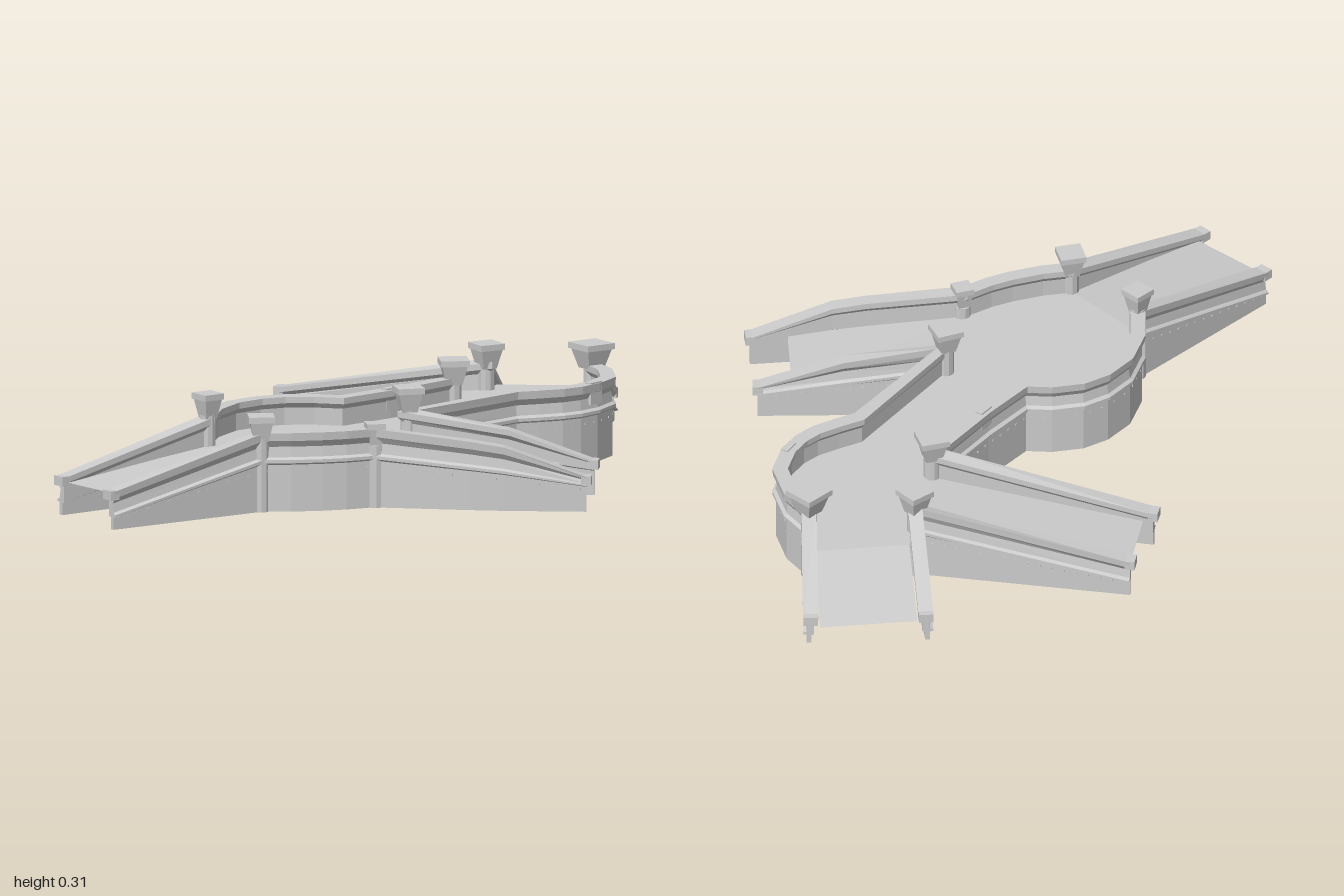
import * as THREE from 'three';
import { mergeGeometries } from 'three/addons/utils/BufferGeometryUtils.js';

const TOP = 0.235, LEDGE = 0.15;
const mat = new THREE.MeshStandardMaterial({ color: 0xcccccc, flatShading: true });
const sheet = new THREE.MeshStandardMaterial({ color: 0xcccccc, flatShading: true, side: THREE.DoubleSide });

// Wall section, counter-clockwise: [outward offset, part (0 plinth, 1 parapet), fraction of that part]
const SECTION = [
  [-0.002, 0, 0], [0.012, 0, 0], [0.012, 0, 0.93], [0.022, 0, 0.97], [0.022, 1, 0.06], [0.012, 1, 0.14],
  [0.008, 1, 0.5], [0.02, 1, 0.72], [0.022, 1, 1], [-0.022, 1, 1], [-0.022, 1, 0.78],
  [-0.01, 1, 0.6], [-0.01, 0, 0.95], [-0.002, 0, 0.9],
];

// Wall runs, clockwise seen from above: [x, z, top height, ledge height]
const WALLS = {
  westWall: [
    [-0.755, 0.765, 0.115, 0.04], [-0.37, 0.40], [-0.365, 0.27], [-0.325, 0.155], [-0.26, 0.08], [-0.19, 0.04],
    [-0.1, 0.026], [-0.02, 0.035], [0.10, -0.10], [0.262, -0.315], [-0.375, -0.482, 0.12, 0.05],
  ],
  northWestWall: [
    [-0.295, -0.73, 0.12, 0.05], [0.33, -0.59], [0.315, -0.945, 0.095, 0.03],
  ],
  eastWall: [
    [0.652, -0.945, 0.095, 0.03], [0.64, -0.585], [0.69, -0.5], [0.715, -0.38], [0.685, -0.285], [0.645, -0.225],
    [0.60, -0.185], [0.535, -0.15], [0.47, -0.12], [0.20, 0.235],
    [0.5, 0.247, 0.19, 0.115], [0.75, 0.255, 0.105, 0.08],
  ],
  southWall: [
    [0.76, 0.515, 0.105, 0.08], [0.52, 0.53, 0.19, 0.115], [0.42, 0.53, 0.205, 0.125], [0.13, 0.52],
    [0.055, 0.565], [-0.01, 0.592], [-0.1, 0.618], [-0.185, 0.63], [-0.585, 0.975, 0.115, 0.04],
  ],
};

// Geometry from loose triangles
function fromTriangles(pos) {
  const g = new THREE.BufferGeometry();
  g.setAttribute('position', new THREE.Float32BufferAttribute(pos, 3));
  g.computeVertexNormals();
  return g;
}

// Sweeps the wall section along a path with mitred corners
function wallGeometry(path) {
  const dirs = path.slice(1).map((p, i) =>
    new THREE.Vector2(p[0] - path[i][0], p[1] - path[i][1]).normalize());
  const rings = path.map(([x, z, top = TOP, ledge = LEDGE], i) => {
    const a = dirs[Math.max(i - 1, 0)], b = dirs[Math.min(i, dirs.length - 1)];
    const d = a.clone().add(b).normalize();
    const miter = Math.min(1 / Math.max(d.dot(a), 0.01), 1.5);
    return SECTION.map(([o, part, f]) => [
      x + d.y * o * miter, part ? ledge + f * (top - ledge) : f * ledge, z - d.x * o * miter]);
  });
  const pos = [], n = SECTION.length;
  const tri = (...v) => v.forEach((p) => pos.push(...p));
  for (let i = 0; i + 1 < rings.length; i++) {
    for (let j = 0; j < n; j++) {
      const k = (j + 1) % n, A = rings[i], B = rings[i + 1];
      tri(A[j], A[k], B[k]);
      tri(A[j], B[k], B[j]);
    }
  }
  const flat = SECTION.map(([o, part, f]) => new THREE.Vector2(o, part ? 0.15 + f * 0.085 : f * 0.15));
  const first = rings[0], last = rings[rings.length - 1];
  for (const [a, b, c] of THREE.ShapeUtils.triangulateShape(flat, [])) {
    tri(first[c], first[b], first[a]);
    tri(last[a], last[b], last[c]);
  }
  return fromTriangles(pos);
}

// Row of small rivets just under the ledge
function rivetGeometry(path) {
  const parts = [];
  for (let i = 0; i + 1 < path.length; i++) {
    const [x0, z0, , l0 = LEDGE] = path[i], [x1, z1, , l1 = LEDGE] = path[i + 1];
    const len = Math.hypot(x1 - x0, z1 - z0), count = Math.floor(len / 0.035);
    const dx = (x1 - x0) / len, dz = (z1 - z0) / len;
    for (let k = 0; k < count; k++) {
      const t = (k + 0.5) / count;
      parts.push(new THREE.BoxGeometry(0.005, 0.005, 0.005).rotateY(Math.atan2(-dz, dx)).translate(
        x0 + (x1 - x0) * t + dz * 0.012, (l0 + (l1 - l0) * t) * 0.8, z0 + (z1 - z0) * t - dx * 0.012));
    }
  }
  return mergeGeometries(parts);
}

export function createModel() {
  const model = new THREE.Group();
  const add = (name, geometry, parent = model, material = mat) => {
    const mesh = new THREE.Mesh(geometry, material);
    mesh.name = name;
    parent.add(mesh);
    return mesh;
  };

  // Parapet walls, rivets and the small blocks closing each ramp wall
  for (const [name, path] of Object.entries(WALLS)) {
    add(name, wallGeometry(path));
    add(name + 'Rivets', rivetGeometry(path));
    for (const [end, next] of [[path[0], path[1]], [path[path.length - 1], path[path.length - 2]]]) {
      const block = add('wallEndBlock', new THREE.BoxGeometry(0.03, 0.028, 0.042));
      block.position.set(end[0], end[2] - 0.012, end[1]);
      block.rotation.y = Math.atan2(-(next[1] - end[1]), next[0] - end[0]);
    }
  }

  // Deck: the level stretches of all walls joined into one outline
  const outline = ['westWall', 'northWestWall', 'eastWall', 'southWall']
    .flatMap((k) => WALLS[k].filter((p) => p.length === 2));
  const deck = new THREE.Shape(outline.map(([x, z]) => new THREE.Vector2(x, -z)));
  add('deck', new THREE.ShapeGeometry(deck).rotateX(-Math.PI / 2).translate(0, LEDGE, 0), model, sheet);

  // Ramp floors: two corners at the deck, two at the foot, foot height
  const ramps = {
    southWestRamp: [[-0.37, 0.40], [-0.185, 0.63], [-0.575, 0.945], [-0.735, 0.785], 0.1],
    northWestRamp: [[0.33, -0.59], [0.262, -0.315], [-0.345, -0.475], [-0.29, -0.725], 0.085],
    southEastRamp: [[0.13, 0.52], [0.20, 0.235], [0.65, 0.25], [0.65, 0.52], 0.095],
  };
  const quad = (a, b, c, d, y0, y1) => fromTriangles([
    [a, y0], [b, y0], [c, y1], [a, y0], [c, y1], [d, y1]].flatMap(([p, y]) => [p[0], y, p[1]]));
  for (const [name, [a, b, c, d, y]] of Object.entries(ramps)) {
    add(name, quad(a, b, c, d, LEDGE, y), model, sheet);
  }
  // North ramp keeps level for a short stretch, then falls
  add('northRampLanding', quad([0.64, -0.585], [0.33, -0.59], [0.35, -0.67], [0.635, -0.69], LEDGE, LEDGE), model, sheet);
  add('northRamp', quad([0.635, -0.69], [0.35, -0.67], [0.342, -0.98], [0.627, -1], LEDGE, 0.09), model, sheet);

  // Posts: round column, flared capital and square slab
  const posts = [
    // x, z, top, width, turn
    [-0.37, 0.40, 0.305, 0.068, 0.75],
    [-0.185, 0.632, 0.285, 0.076, 0.2],
    [0.137, 0.52, 0.25, 0.055, 0.3],
    [0.20, 0.225, 0.305, 0.08, 0.35],
    [0.267, -0.315, 0.29, 0.085, 0.25],
    [0.33, -0.592, 0.288, 0.08, 0.65],
    [0.64, -0.587, 0.297, 0.098, 0.75],
  ];
  for (const [x, z, top, width, turn] of posts) {
    const post = new THREE.Group();
    post.name = 'post';
    post.position.set(x, 0, z);
    post.rotation.y = turn;
    const foot = top - 0.075, half = width * Math.SQRT1_2;
    add('column', new THREE.CylinderGeometry(0.024, 0.024, foot + 0.01, 10).translate(0, (foot + 0.01) / 2, 0), post);
    add('capital', new THREE.CylinderGeometry(half * 0.88, half * 0.55, 0.058, 4)
      .rotateY(Math.PI / 4).translate(0, foot + 0.029, 0), post);
    add('slab', new THREE.BoxGeometry(width, 0.018, width).translate(0, top - 0.009, 0), post);
    model.add(post);
  }

  // Small brackets clasping the parapet
  for (const [x, z, turn] of [[0.685, -0.27, 1], [0.105, -0.105, 0.9]]) {
    const bracket = add('bracket', new THREE.BoxGeometry(0.022, 0.065, 0.05));
    bracket.position.set(x, 0.207, z);
    bracket.rotation.y = turn - Math.PI / 2;
  }
  return model;
}
